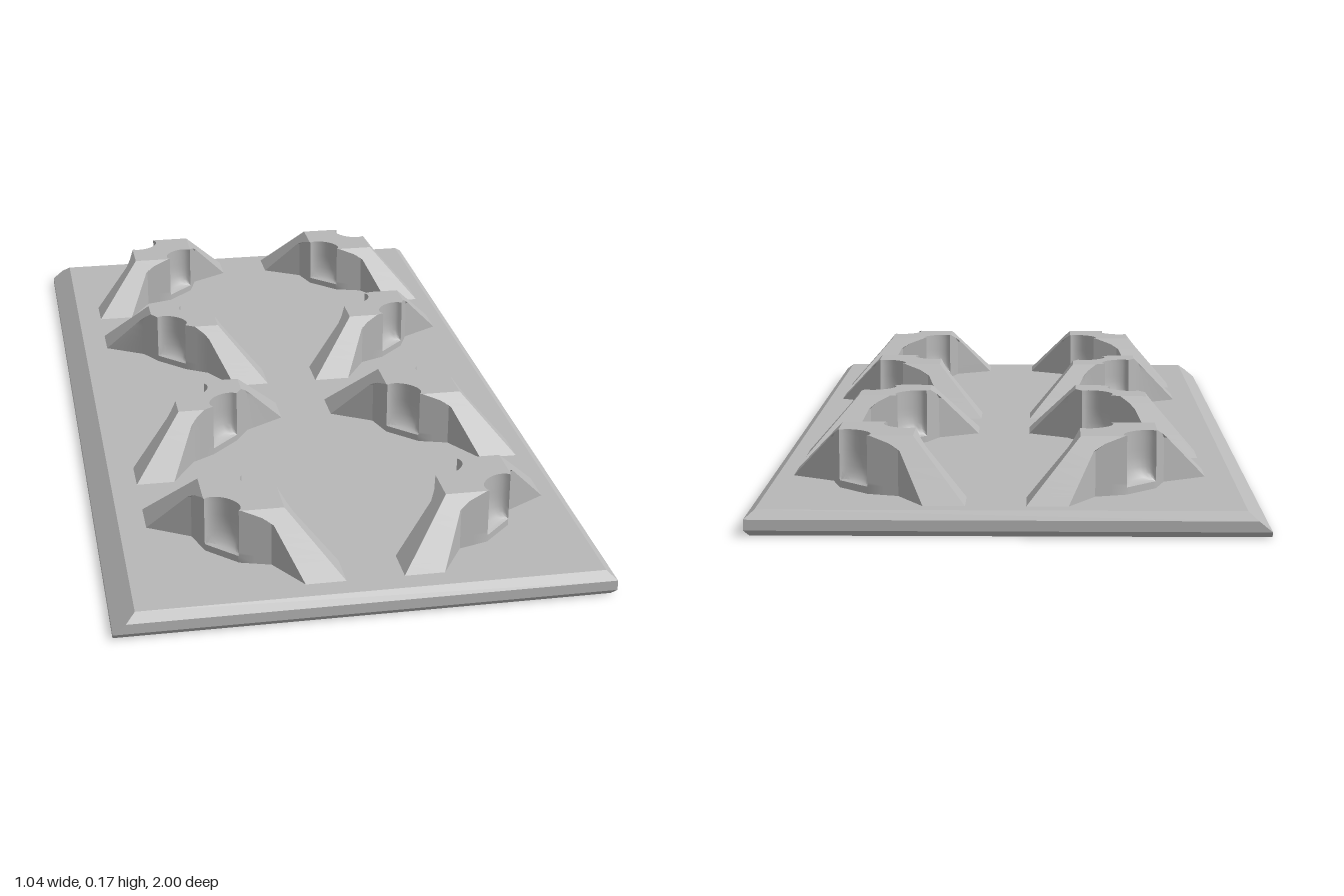
import * as THREE from 'three';
import { toCreasedNormals } from 'three/addons/utils/BufferGeometryUtils.js';

// Loft a closed solid through loops of [x, y, z]; point k faces point N - k across the caps
function loft(loops) {
  const pos = [];
  const tri = (a, b, c) => pos.push(...a, ...b, ...c);
  const n = loops[0].length;
  for (let j = 0; j < loops.length - 1; j++) {
    for (let i = 0; i < n; i++) {
      const a = loops[j][i], b = loops[j][(i + 1) % n];
      const c = loops[j + 1][(i + 1) % n], d = loops[j + 1][i];
      tri(a, d, c);
      tri(a, c, b);
    }
  }
  const bottom = loops[0], top = loops[loops.length - 1];
  for (let k = 0; k < n / 2; k++) {
    const m = (n - k) % n, q = k + 1, qm = n - k - 1;
    tri(top[k], top[m], top[qm]);
    tri(top[k], top[qm], top[q]);
    tri(bottom[k], bottom[qm], bottom[m]);
    tri(bottom[k], bottom[q], bottom[qm]);
  }
  const g = new THREE.BufferGeometry();
  g.setAttribute('position', new THREE.Float32BufferAttribute(pos, 3));
  return toCreasedNormals(g, 0.5);
}

// Diagonal wall: a square frustum trimmed to a waisted strip, with a round-bottomed socket on each side
function ridgeGeometry(bulge) {
  const R = 0.045, WAIST = 0.105;
  const outline = (u) => {
    if (u <= R) return bulge;
    if (u <= WAIST) return THREE.MathUtils.mapLinear(u, R, WAIST, bulge, 0.034);
    return THREE.MathUtils.mapLinear(u, WAIST, 0.209, 0.034, 0.06);
  };
  const socket = (u, y) => {
    const t = THREE.MathUtils.clamp((y - 0.065) / 0.05, 0, 1);
    const depth = 0.03 * Math.sqrt(1 - (1 - t) ** 2);
    return depth * Math.sqrt(Math.max(0, 1 - (u / R) ** 2));
  };
  const levels = [0.045, 0.05, 0.065, 0.068, 0.074, 0.083, 0.095, 0.115, 0.13, 0.145, 0.158, 0.172];
  const loops = levels.map((y) => {
    const corner = Math.SQRT2 * (0.19 - 0.11 * (y - 0.05) / 0.122);
    // where the sloped end facet meets the side wall
    let lo = 0, hi = corner;
    for (let i = 0; i < 40; i++) {
      const mid = (lo + hi) / 2;
      if (outline(mid) < corner - mid) lo = mid; else hi = mid;
    }
    const us = [lo, Math.min(lo, WAIST), Math.min(lo, 0.075)];
    for (let i = 0; i <= 12; i++) us.push(Math.min(lo, R) * Math.cos(Math.PI * i / 12));
    us.push(-us[2], -us[1], -us[0]);
    const side = us.map((u) => [u, y, outline(Math.abs(u)) - socket(u, y)]);
    const other = side.map(([u, h, v]) => [u, h, -v]).reverse();
    return [[corner, y, 0], ...side, [-corner, y, 0], ...other];
  });
  return loft(loops);
}

export function createModel() {
  const model = new THREE.Group();
  model.name = 'traySet';
  const grey = new THREE.MeshStandardMaterial({ color: 0xb8b8b8 });
  grey.name = 'grey';

  // Base plate with bevelled edges, the left one wider: y, left, right, half depth
  const plate = new THREE.Mesh(loft([
    [0, -0.522, 0.51, 0.99],
    [0.012, -0.522, 0.52, 1],
    [0.034, -0.495, 0.52, 1],
    [0.05, -0.475, 0.5, 0.98],
  ].map(([y, l, r, z]) => [[r, y, -z], [r, y, z], [l, y, z], [l, y, -z]])), grey);
  plate.name = 'basePlate';
  model.add(plate);

  // Two columns of four ridges, alternating diagonals
  const thick = ridgeGeometry(0.066);
  const medium = ridgeGeometry(0.058);
  const thin = ridgeGeometry(0.048);
  const kinds = [[thick, thin, thin, thick], [thick, medium, thick, thick]];
  for (let col = 0; col < 2; col++) {
    for (let row = 0; row < 4; row++) {
      const ridge = new THREE.Mesh(kinds[col][row], grey);
      ridge.name = `ridge${col * 4 + row + 1}`;
      ridge.position.set(col ? 0.275 : -0.227, 0, -0.754 + 0.499 * row);
      ridge.rotation.y = (col + row) % 2 ? -Math.PI / 4 : Math.PI / 4;
      model.add(ridge);
    }
  }
  return model;
}
